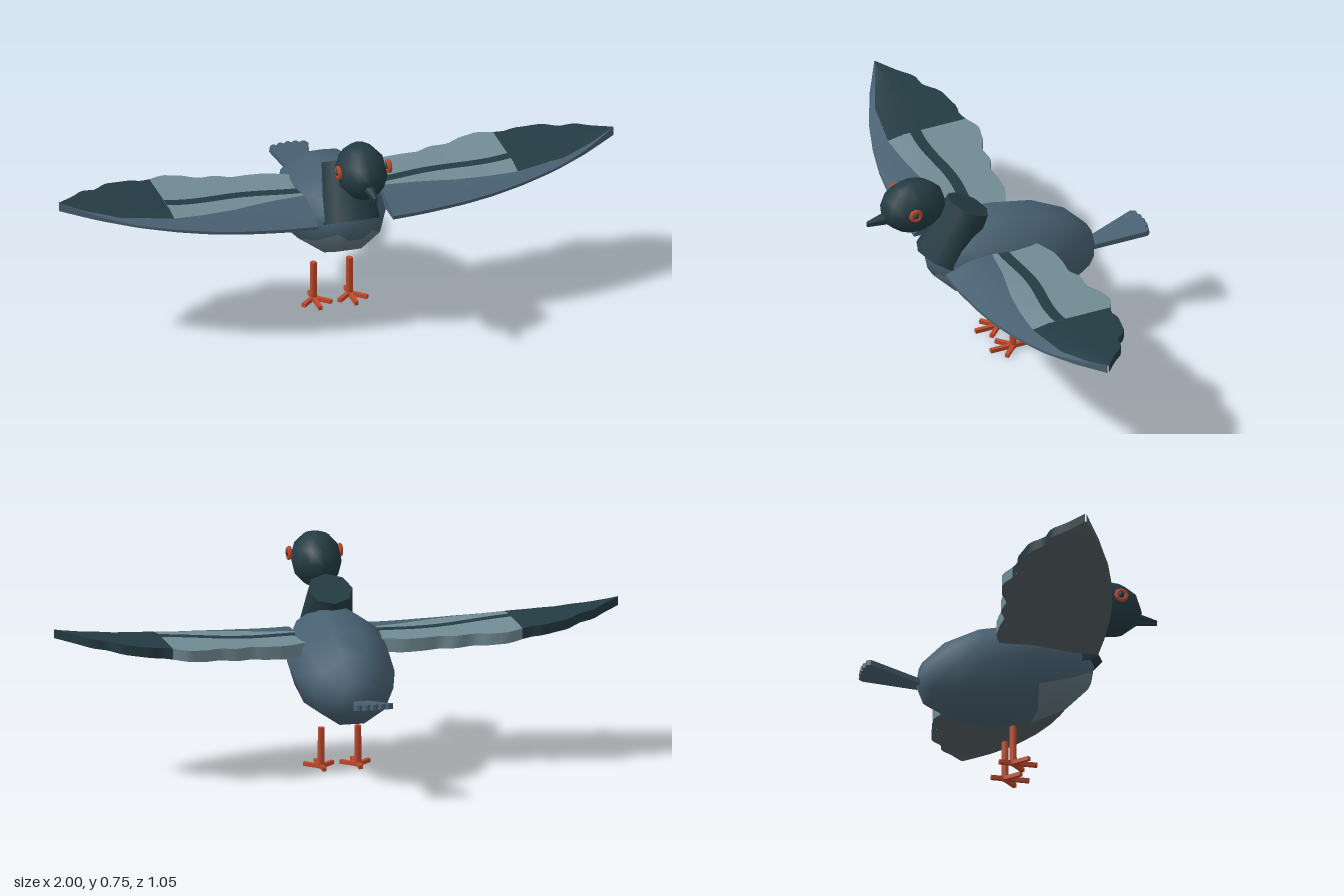
import * as THREE from 'three';

const mat = (name, color, side = THREE.FrontSide) => {
  const m = new THREE.MeshStandardMaterial({ color, side });
  m.name = name;
  return m;
};
const slate = mat('slate blue', 0x486071);
const dark = mat('dark teal', 0x243b43);
const light = mat('pale grey blue', 0x718b94);
const breastGrey = mat('breast grey', 0x627780);
const under = mat('underwing grey', 0x566164);
const orange = mat('orange red', 0xc04a2b);

const add = (parent, name, geometry, material, x = 0, y = 0, z = 0) => {
  const mesh = new THREE.Mesh(geometry, material);
  mesh.name = name;
  mesh.position.set(x, y, z);
  parent.add(mesh);
  return mesh;
};

// Piecewise linear curve through [x, value] points
const curve = (pts) => (x) => {
  let i = 0;
  while (i < pts.length - 2 && x > pts[i + 1][0]) i++;
  const [a, b] = [pts[i], pts[i + 1]];
  return THREE.MathUtils.lerp(a[1], b[1], THREE.MathUtils.clamp((x - a[0]) / (b[0] - a[0]), 0, 1));
};

// Surface from a grid of points; flip reverses the winding for the mirrored side
function gridSurface(n, m, point, flip) {
  const pos = [], index = [];
  for (let i = 0; i <= n; i++) for (let j = 0; j <= m; j++) pos.push(...point(i / n, j / m));
  for (let i = 0; i < n; i++) for (let j = 0; j < m; j++) {
    const a = i * (m + 1) + j, b = a + m + 1;
    if (flip) index.push(a, a + 1, b, b, a + 1, b + 1);
    else index.push(a, b, a + 1, b, b + 1, a + 1);
  }
  const g = new THREE.BufferGeometry();
  g.setAttribute('position', new THREE.Float32BufferAttribute(pos, 3));
  g.setIndex(index);
  g.computeVertexNormals();
  return g;
}

// Wing plan: leading edge, scalloped trailing edge and colour boundaries
const ROOT = 0.135, SPLIT = 0.62;
const lead = curve([[0.135, 0.29], [0.25, 0.286], [0.4, 0.274], [0.5, 0.26], [0.62, 0.232],
  [0.75, 0.19], [0.88, 0.13], [1, 0.06]]);
const trail = curve([[0.135, -0.055], [0.21, -0.087], [0.28, -0.09], [0.34, -0.085], [0.385, -0.11],
  [0.45, -0.102], [0.5, -0.13], [0.567, -0.144], [0.62, -0.118], [0.655, -0.107], [0.69, -0.116],
  [0.74, -0.106], [0.79, -0.096], [0.835, -0.05], [0.89, -0.042], [0.93, 0], [1, 0.055]]);
const panel = curve([[0.135, 0.115], [0.25, 0.127], [0.4, 0.16], [0.5, 0.17], [0.62, 0.175],
  [0.8, 0.145], [1, 0.058]]);
const barFront = (x) => 0.085 + 0.01 * Math.sin(14 * x);
const barBack = (x) => 0.045 + 0.01 * Math.sin(14 * x);
const bottomY = (x) => 0.414 + 0.091 * x * x;
const topY = (x, z) => {
  const v = (lead(x) - z) / Math.max(lead(x) - trail(x), 0.001);
  const round = Math.sin(Math.min(v / 0.4, 1) * Math.PI / 2);
  const ramp = Math.max(0.25 + 0.75 * round, Math.pow(x, 6));
  return bottomY(x) + THREE.MathUtils.lerp(0.052, 0.03, x) * ramp;
};

function createWing(s) {
  const wing = new THREE.Group();
  wing.name = s > 0 ? 'leftWing' : 'rightWing';
  const strip = (name, material, x0, x1, m, point) =>
    add(wing, name, gridSurface(Math.round((x1 - x0) * 50), m, (u, t) => {
      const x = THREE.MathUtils.lerp(x0, x1, u);
      const [y, z] = point(x, t);
      return [s * x, y, z];
    }, s < 0), material);
  const top = (name, material, x0, x1, m, front, back) => strip(name, material, x0, x1, m, (x, t) => {
    const z = THREE.MathUtils.lerp(front(x), back(x), t);
    return [topY(x, z), z];
  });
  const wall = (name, material, x0, x1, edge, down) => strip(name, material, x0, x1, 1, (x, t) =>
    [THREE.MathUtils.lerp(bottomY(x), topY(x, edge(x)), down ? 1 - t : t), edge(x)]);

  top('leadingCoverts', slate, ROOT, 1, 5, lead, panel);
  top('frontPanel', light, ROOT, SPLIT, 2, panel, barFront);
  top('wingBar', dark, ROOT, SPLIT, 1, barFront, barBack);
  top('rearPanel', light, ROOT, SPLIT, 2, barBack, trail);
  top('wingTip', dark, SPLIT, 1, 5, panel, trail);
  wall('leadingEdge', slate, ROOT, 1, lead, false);
  wall('innerTrailingEdge', light, ROOT, SPLIT, trail, true);
  wall('outerTrailingEdge', dark, SPLIT, 1, trail, true);
  strip('underwing', under, ROOT, 1, 3, (x, t) =>
    [bottomY(x), THREE.MathUtils.lerp(trail(x), lead(x), t)]);
  add(wing, 'wingRoot', gridSurface(10, 1, (u, t) => {
    const z = THREE.MathUtils.lerp(lead(ROOT), trail(ROOT), u);
    return [s * ROOT, THREE.MathUtils.lerp(topY(ROOT, z), bottomY(ROOT), t), z];
  }, s < 0), slate);
  return wing;
}

function createLeg(s) {
  const leg = new THREE.Group();
  leg.name = s > 0 ? 'leftLeg' : 'rightLeg';
  leg.position.x = s * 0.065;
  add(leg, 'shank', new THREE.CylinderGeometry(0.012, 0.013, 0.145, 6), orange, 0, 0.0725, 0.005);
  // Three toes forward and one back
  for (const [angle, length] of [[0, 0.088], [0.8, 0.07], [-0.8, 0.07], [Math.PI, 0.047]]) {
    const toe = new THREE.BoxGeometry(0.014, 0.014, length);
    toe.translate(0, 0.007, length / 2).rotateY(angle);
    add(leg, 'toe', toe, orange, 0, 0, 0.002);
  }
  return leg;
}

function createEye(s) {
  const eye = new THREE.Group();
  eye.name = s > 0 ? 'leftEye' : 'rightEye';
  eye.position.set(s * 0.09, 0.673, 0.382);
  eye.rotation.y = s * Math.PI / 2;
  add(eye, 'eyeRing', new THREE.TorusGeometry(0.018, 0.008, 6, 8), orange);
  add(eye, 'pupil', new THREE.SphereGeometry(0.012, 8, 6), dark);
  return eye;
}

export function createModel() {
  const bird = new THREE.Group();
  bird.name = 'bird';

  // Body with poles front and back; a patch of faces below the breast is paler
  const body = new THREE.SphereGeometry(1, 10, 7);
  body.rotateX(Math.PI / 2).scale(0.18, 0.174, 0.322).rotateX(-0.21);
  body.clearGroups();
  for (const [start, count, m] of [[0, 36, 0], [36, 18, 1], [54, 42, 0], [96, 18, 1], [114, 246, 0]])
    body.addGroup(start, count, m);
  add(bird, 'body', body, [slate, breastGrey], 0, 0.366, -0.01);

  // Neck and head
  const neck = add(bird, 'neck', new THREE.CylinderGeometry(0.079, 0.102, 0.215, 8), dark, 0, 0.503, 0.195);
  neck.rotation.x = -0.48;
  const head = new THREE.SphereGeometry(1, 12, 6).rotateY(Math.PI / 2);
  head.scale(0.088, 0.097, 0.119);
  add(bird, 'head', head, dark, 0, 0.655, 0.355);

  // Beak halves
  const beak = (name, r0, r1, length, y, tilt) => {
    const g = new THREE.CylinderGeometry(r1, r0, length, 8).rotateX(Math.PI / 2);
    add(bird, name, g, dark, 0, y, 0.527 - length / 2).rotation.x = tilt;
  };
  beak('upperBeak', 0.02, 0.006, 0.075, 0.628, 0.1);
  beak('lowerBeak', 0.012, 0.005, 0.07, 0.615, 0);

  // Fan tail with a scalloped end
  const fan = new THREE.Shape();
  fan.moveTo(-0.026, 0);
  fan.lineTo(-0.07, 0.188);
  const feathers = 5;
  for (let i = 1; i <= feathers * 3; i++) {
    const u = i / (feathers * 3) * 2 - 1;
    const bump = i % 3 === 0 ? 0 : 0.009;
    fan.lineTo(0.07 * u, 0.188 + 0.013 * (1 - u * u) + bump);
  }
  fan.lineTo(0.026, 0);
  fan.closePath();
  const tail = new THREE.ExtrudeGeometry(fan, { depth: 0.019, bevelEnabled: false });
  tail.rotateX(-Math.PI / 2).rotateX(0.18);
  add(bird, 'tail', tail, slate, 0, 0.295, -0.315);

  for (const s of [1, -1]) bird.add(createWing(s), createLeg(s), createEye(s));
  return bird;
}
